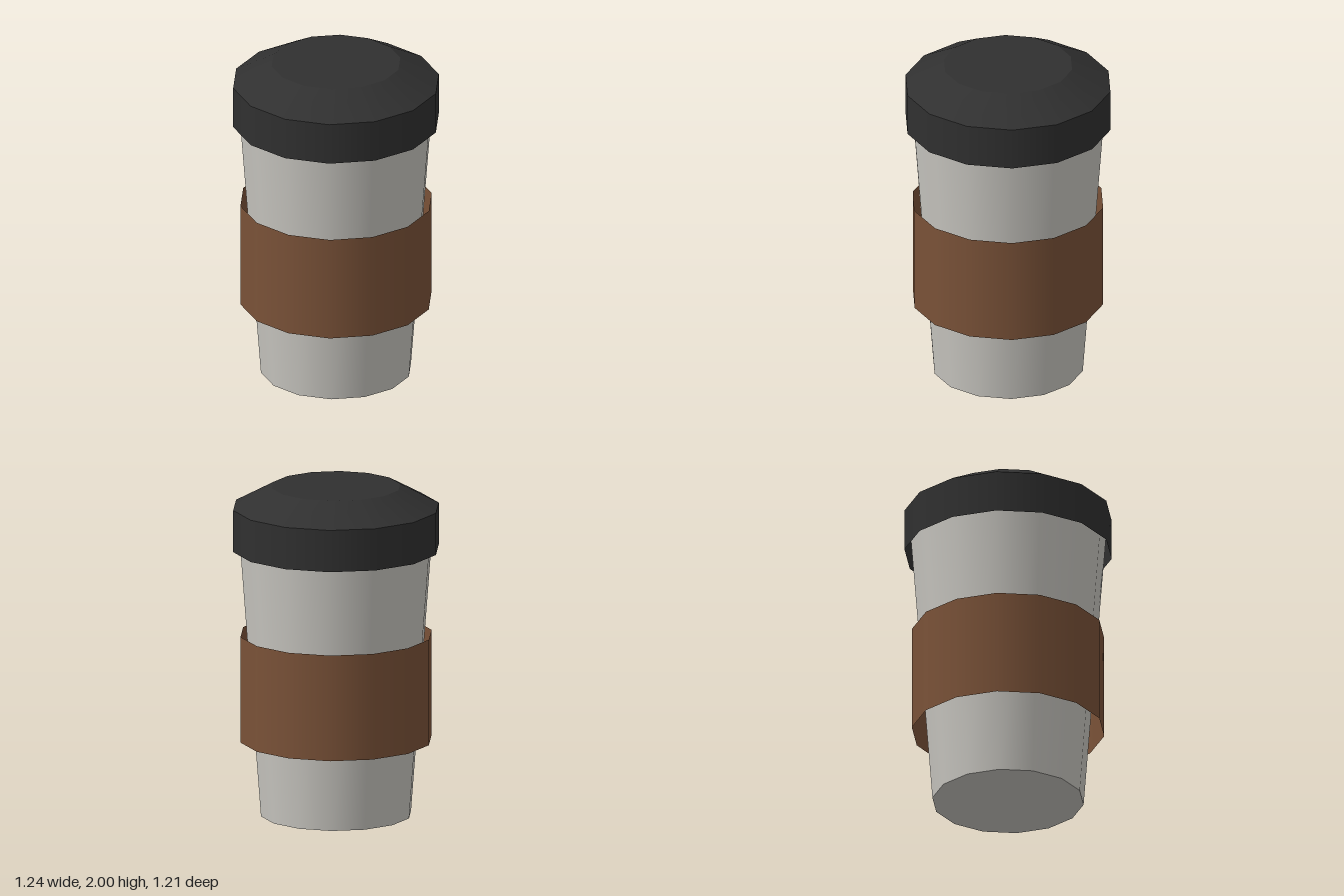
import * as THREE from 'three';

const SIDES = 14;

export function createModel() {
  const group = new THREE.Group();
  group.name = 'travelCup';

  const material = (name, color, side = THREE.FrontSide) => {
    const m = new THREE.MeshStandardMaterial({ color, side });
    m.name = name;
    return m;
  };
  const steel = material('brushed grey', 0xc8c6c0);
  const leather = material('brown sleeve', 0x7a5238, THREE.DoubleSide);
  const plastic = material('black lid', 0x303030, THREE.DoubleSide);

  // Tapered ring between two heights, with a corner on the x axis
  const ring = (name, mat, rTop, rBottom, y0, y1, open = true, parent = group) => {
    const geo = new THREE.CylinderGeometry(rTop, rBottom, y1 - y0, SIDES, 1, open);
    geo.rotateY(Math.PI / 2);
    geo.translate(0, (y0 + y1) / 2, 0);
    const mesh = new THREE.Mesh(geo, mat);
    mesh.name = name;
    parent.add(mesh);
  };

  // Cup body, running up inside the lid
  ring('cupBody', steel, 0.585, 0.452, 0, 1.75, false);

  // Straight open grip sleeve
  ring('gripSleeve', leather, 0.575, 0.575, 0.455, 1.1);

  // Lid: open-bottomed rim, sloping shoulder and flat top
  const lid = new THREE.Group();
  lid.name = 'lid';
  group.add(lid);
  ring('lidRim', plastic, 0.619, 0.619, 1.62, 1.875, true, lid);
  ring('lidShoulder', plastic, 0.387, 0.619, 1.875, 2, true, lid);
  const top = new THREE.CircleGeometry(0.387, SIDES);
  top.rotateX(-Math.PI / 2);
  top.translate(0, 2, 0);
  const lidTop = new THREE.Mesh(top, plastic);
  lidTop.name = 'lidTop';
  lid.add(lidTop);

  return group;
}
